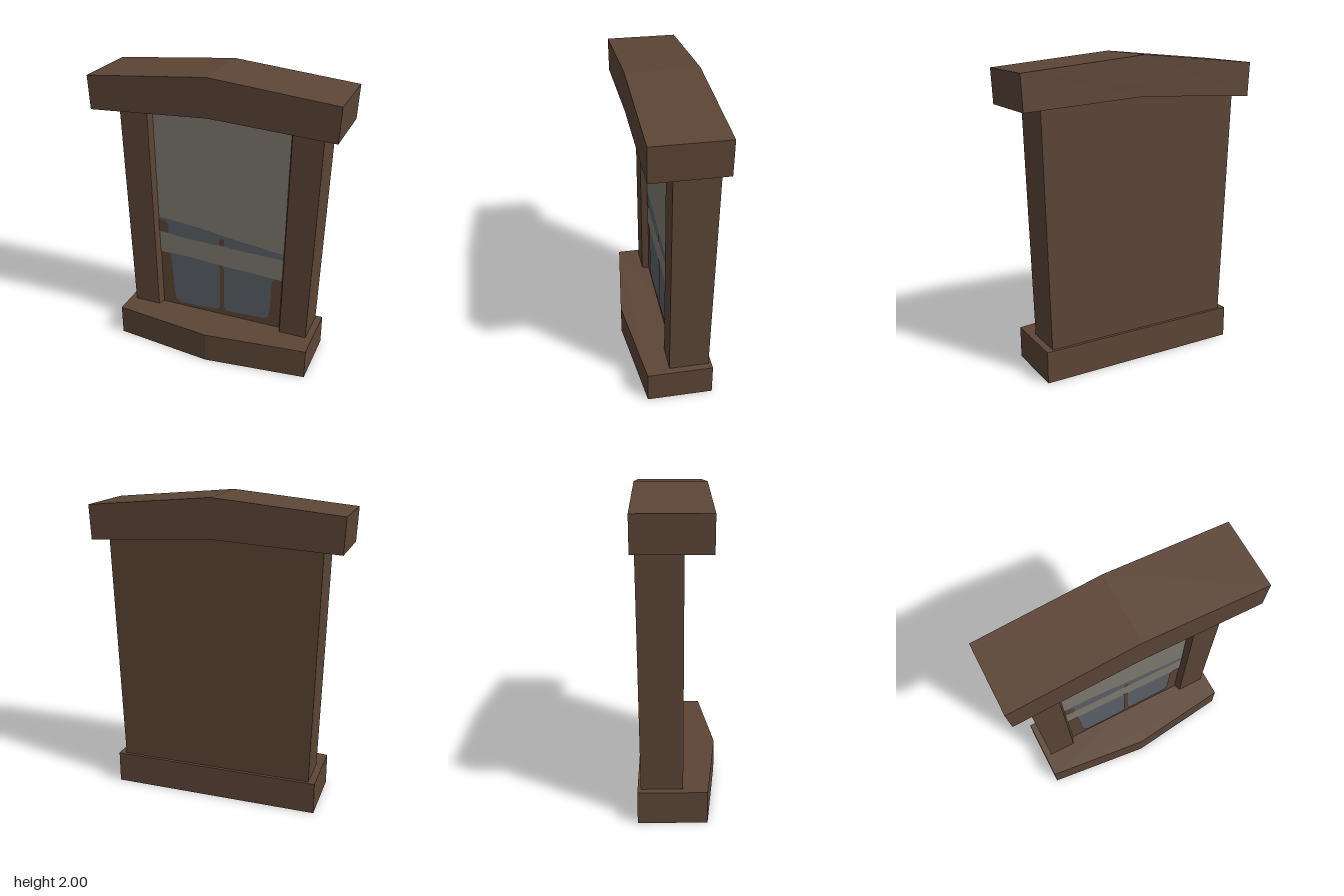
import * as THREE from 'three';

const flat = (name, color) => {
  const m = new THREE.MeshStandardMaterial({ color });
  m.name = name;
  return m;
};

const polygon = (points) => new THREE.Shape(points.map(([x, y]) => new THREE.Vector2(x, y)));

// Extrudes a plan outline of [x, z] points upwards from y0 to y1
function extrudeUp(plan, y0, y1) {
  const shape = polygon(plan.map(([x, z]) => [x, -z]));
  const geometry = new THREE.ExtrudeGeometry(shape, { depth: y1 - y0, bevelEnabled: false });
  return geometry.rotateX(-Math.PI / 2).translate(0, y0, 0);
}

export function createModel() {
  const group = new THREE.Group();
  const wood = flat('brown wood', 0x5c4536);
  const blind = flat('grey blind', 0x7e7b70);
  const glass = flat('blue grey glass', 0x5c6068);

  const add = (name, geometry, material) => {
    const mesh = new THREE.Mesh(geometry, material);
    mesh.name = name;
    group.add(mesh);
  };

  // Sill with a pointed front
  add('sill', extrudeUp(
    [[-0.69, -0.245], [0.69, -0.245], [0.69, 0.185], [0, 0.265], [-0.69, 0.185]], 0, 0.21), wood);

  // Frame: recessed plan that widens evenly towards the top
  const bottom = 0.2, top = 1.75;
  const widen = (y) => 1 + 0.062 * (y - 0.21) / 1.5;
  const frame = extrudeUp([
    [-0.645, -0.225], [0.645, -0.225], [0.645, 0.035], [0.46, 0.035],
    [0.442, -0.012], [-0.442, -0.012], [-0.46, 0.035], [-0.645, 0.035],
  ], bottom, top);
  const p = frame.attributes.position;
  for (let i = 0; i < p.count; i++) {
    const s = widen(p.getY(i));
    p.setX(i, p.getX(i) * s);
    p.setZ(i, p.getZ(i) * s);
  }
  frame.computeVertexNormals();
  add('frame', frame, wood);

  // Lintel with a shallow gable
  const lintel = new THREE.ExtrudeGeometry(polygon([
    [-0.8, 1.705], [0, 1.75], [0.8, 1.705], [0.81, 1.925], [0, 2], [-0.81, 1.925],
  ]), { depth: 0.46, bevelEnabled: false });
  add('lintel', lintel.translate(0, 0, -0.262), wood);

  // Painted details on the recessed panel
  const paint = (name, points, material, z = -0.008) =>
    add(name, new THREE.ShapeGeometry(polygon(points)).translate(0, 0, z), material);
  const edge = (y, side) => [side * 0.444 * widen(y), y];

  const upperLine = [edge(0.905, -1), [-0.38, 0.9], [-0.2, 0.882], [-0.12, 0.873],
    [0, 0.852], [0.06, 0.846], [0.18, 0.828], [0.26, 0.822], [0.36, 0.806], edge(0.8, 1)];
  const middleLine = [edge(0.795, -1), [-0.38, 0.788], [-0.26, 0.775], [0, 0.768],
    [0.2, 0.76], edge(0.755, 1)];
  const lowerLine = [edge(0.632, -1), [-0.22, 0.632], [-0.06, 0.62], [0.04, 0.612],
    [0.22, 0.606], edge(0.593, 1)];

  const band = (above, below) => [...below, ...[...above].reverse()];
  paint('upperBlind', band([edge(1.745, -1), edge(1.745, 1)], upperLine), blind);
  paint('upperGlass', band(upperLine, middleLine), glass);
  paint('lowerBlind', band(middleLine, lowerLine), blind);

  paint('leftPane', [[-0.372, 0.632], [-0.35, 0.31], [-0.34, 0.26], [-0.31, 0.238],
    [-0.16, 0.235], [-0.02, 0.25], [0, 0.27], [0.002, 0.58], [-0.008, 0.616],
    [-0.06, 0.62], [-0.22, 0.632]], glass);
  paint('rightPane', [[0.022, 0.613], [0.03, 0.58], [0.03, 0.28], [0.045, 0.256],
    [0.09, 0.25], [0.33, 0.262], [0.36, 0.28], [0.37, 0.33], [0.378, 0.56],
    [0.395, 0.596], [0.22, 0.606], [0.04, 0.612]], glass);

  // Bits of glazing bar showing through the upper glass
  paint('barEnd', [edge(0.797, -1), [-0.39, 0.79], [-0.385, 0.81], [-0.385, 0.862],
    [-0.4, 0.88], edge(0.892, -1)], wood, -0.005);
  paint('barMiddle', [[0, 0.774], [0.025, 0.774], [0.03, 0.79], [0.03, 0.82],
    [0.015, 0.827], [-0.003, 0.82], [-0.005, 0.79]], wood, -0.005);

  return group;
}
